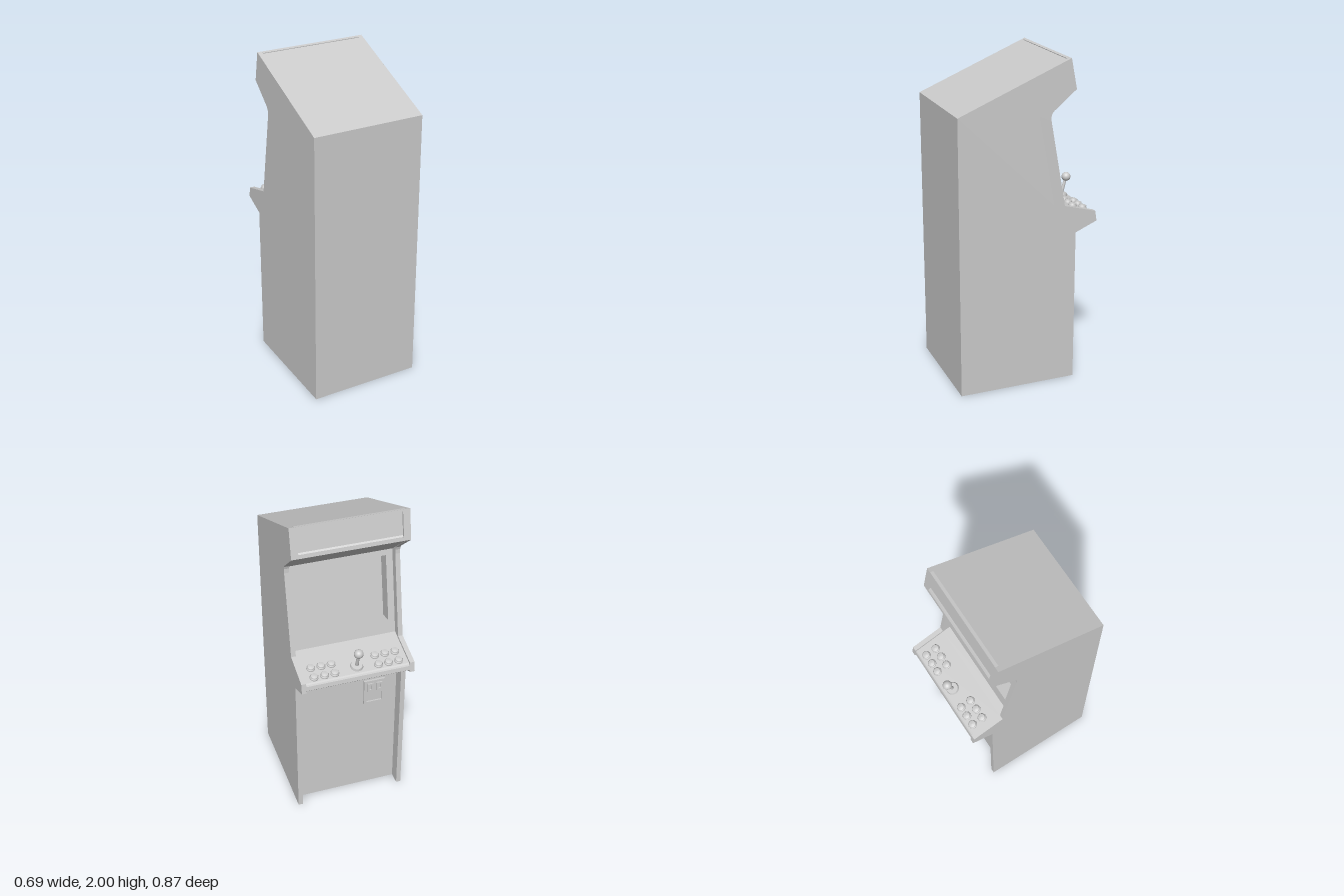
import * as THREE from 'three';

const mat = new THREE.MeshStandardMaterial({ color: 0xcccccc });
const W = 0.347, IN = 0.318; // outer and inner half widths

function add(parent, name, geometry) {
  const m = new THREE.Mesh(geometry, mat);
  m.name = name;
  parent.add(m);
  return m;
}

// Extrude a [z, y] outline across the cabinet from x0 to x1
function slab(parent, name, pts, x0 = -IN, x1 = IN) {
  const shape = new THREE.Shape(pts.map(([z, y]) => new THREE.Vector2(-z, y)));
  const g = new THREE.ExtrudeGeometry(shape, { depth: x1 - x0, bevelEnabled: false });
  g.rotateY(Math.PI / 2).translate(x0, 0, 0);
  return add(parent, name, g);
}

// Group lying on a sloped surface: origin at a, local y runs towards b, local z points outwards
function surface(parent, name, a, b) {
  const grp = new THREE.Group();
  grp.name = name;
  const x = new THREE.Vector3(-1, 0, 0);
  const y = new THREE.Vector3(0, b[1] - a[1], b[0] - a[0]).normalize();
  grp.setRotationFromMatrix(new THREE.Matrix4().makeBasis(x, y, x.clone().cross(y)));
  grp.position.set(0, a[1], a[0]);
  parent.add(grp);
  return grp;
}

function rect(Type, x0, y0, x1, y1) {
  return new Type([[x0, y0], [x1, y0], [x1, y1], [x0, y1]].map(p => new THREE.Vector2(...p)));
}

// Rectangular frame with openings, its front at z = front
function frame(parent, name, outer, holes, depth, front = 0) {
  const shape = rect(THREE.Shape, ...outer);
  holes.forEach(h => shape.holes.push(rect(THREE.Path, ...h)));
  const g = new THREE.ExtrudeGeometry(shape, { depth, bevelEnabled: false });
  return add(parent, name, g.translate(0, 0, front - depth));
}

function box(parent, name, w, h, d, x, y, z) {
  return add(parent, name, new THREE.BoxGeometry(w, h, d).translate(x, y, z));
}

export function createModel() {
  const model = new THREE.Group();
  model.name = 'arcadeCabinet';

  // Side walls: thin skin behind, thick trim along the front outline
  const front = [
    [-0.298, 0], [-0.298, 0.95], [-0.434, 1.008], [-0.424, 1.07], [-0.225, 1.126],
    [-0.132, 1.645], [-0.131, 1.672], [-0.136, 1.69], [-0.148, 1.705],
    [-0.286, 1.82], [-0.251, 2],
  ];
  const inner = [[-0.15, 1.958], [-0.06, 1.68], [-0.16, 1.13], [-0.215, 0.95], [-0.215, 0]];
  for (const s of [-1, 1]) {
    const span = t => (s > 0 ? [W - t, W] : [-W, -W + t]);
    slab(model, 'sideTrim', [...front, ...inner], ...span(W - IN));
    slab(model, 'sideWall', [[0.434, 0], [0.434, 1.715], ...inner], ...span(0.003));
  }

  // Back, top and front walls; the bottom stays open
  slab(model, 'backWall', [[0.434, 0], [0.434, 1.715], [0.431, 1.715], [0.431, 0]], -W, W);
  slab(model, 'topPanel', [[0.434, 1.715], [-0.251, 2], [-0.25, 1.995], [0.434, 1.71]], -W, W);
  slab(model, 'frontPanel', [[-0.222, 0], [-0.222, 0.96], [-0.217, 0.96], [-0.217, 0]]);

  // Marquee with inset sign panel and the hood below it
  const marquee = surface(model, 'marquee', [-0.286, 1.82], [-0.251, 2]);
  frame(marquee, 'marqueeFrame', [-IN, 0, IN, 0.183], [[-0.305, 0.02, 0.305, 0.17]], 0.02);
  box(marquee, 'marqueePanel', 0.62, 0.16, 0.004, 0, 0.095, -0.016);
  slab(model, 'hood', [[-0.285, 1.821], [-0.143, 1.703], [-0.07, 1.643], [-0.06, 1.75], [-0.25, 1.87]]);

  // Screen surround with a deep opening
  const screen = surface(model, 'screen', [-0.178, 1.115], [-0.082, 1.66]);
  frame(screen, 'screenBezel', [-IN, 0, IN, 0.565], [[-0.277, 0.095, 0.277, 0.512]], 0.09);
  box(screen, 'screenGlass', 0.58, 0.44, 0.006, 0, 0.303, -0.088);

  // Control deck with a rounded front lip
  slab(model, 'controlDeck', [
    [-0.16, 1.132], [-0.225, 1.113], [-0.41, 1.06], [-0.419, 1.055], [-0.424, 1.046],
    [-0.428, 1.02], [-0.422, 1.014], [-0.222, 0.927], [-0.2, 0.927],
  ]);
  const deck = surface(model, 'controls', [-0.41, 1.06], [-0.225, 1.113]);
  const along = z => (z + 0.41) * 1.04;

  // Buttons: a collar and a domed cap turned as one profile
  const buttonProfile = [[0.026, 0], [0.026, 0.007], [0.0235, 0.01], [0.021, 0.01],
    [0.021, 0.016], [0.019, 0.019], [0, 0.021]].map(p => new THREE.Vector2(...p));
  const button = new THREE.LatheGeometry(buttonProfile, 24).rotateX(Math.PI / 2);
  for (const x of [-0.263, -0.2, -0.137, 0.132, 0.194, 0.257])
    for (const z of [-0.381, -0.315])
      add(deck, 'button', button).position.set(-x, along(z), 0);

  // Joystick
  const stick = new THREE.Group();
  stick.name = 'joystick';
  stick.position.set(0.009, along(-0.362), 0);
  deck.add(stick);
  add(stick, 'joystickBase', new THREE.CylinderGeometry(0.034, 0.039, 0.014, 32)
    .rotateX(Math.PI / 2).translate(0, 0, 0.007));
  add(stick, 'joystickShaft', new THREE.CylinderGeometry(0.008, 0.011, 0.105, 16)
    .rotateX(Math.PI / 2).translate(0, 0, 0.06));
  add(stick, 'joystickBall', new THREE.SphereGeometry(0.028, 24, 16).translate(0, 0, 0.115));

  // Coin door: two coin slots above a return tray
  const door = surface(model, 'coinDoor', [-0.222, 0.66], [-0.222, 0.835]);
  door.position.x = -0.173;
  frame(door, 'coinDoorPlate', [-0.067, 0, 0.067, 0.175],
    [[-0.05, 0.015, 0.05, 0.08]], 0.014, 0.014);
  box(door, 'returnTray', 0.1, 0.065, 0.004, 0, 0.047, 0.002);
  for (const x of [-0.029, 0.029]) {
    frame(door, 'coinSlotFrame', [x - 0.02, 0.1, x + 0.02, 0.158],
      [[x - 0.008, 0.112, x + 0.008, 0.146]], 0.008, 0.022);
  }
  return model;
}
